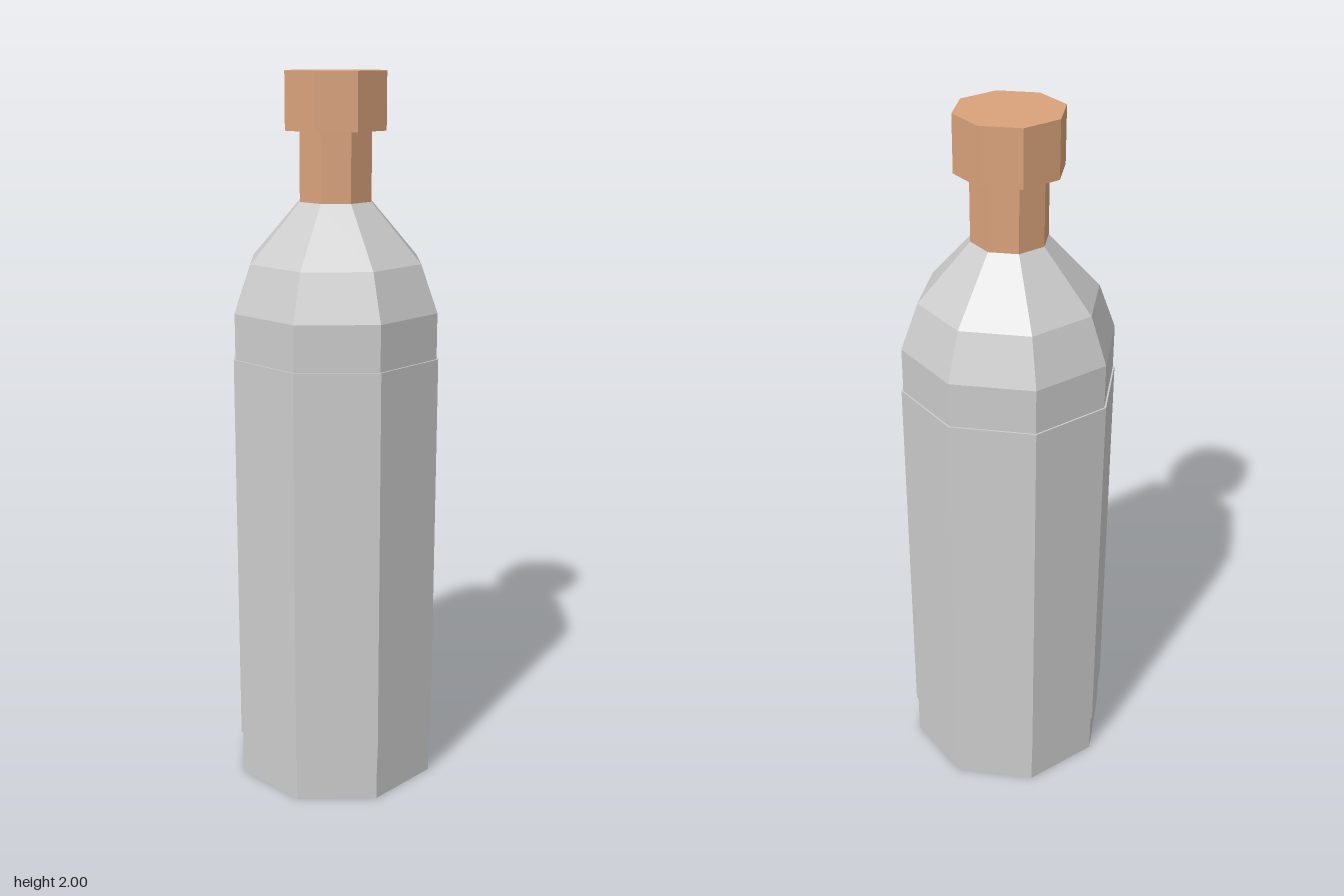
import * as THREE from 'three';

const SIDES = 8;

// Eight-sided turned part from [radius, height] points, listed bottom to top
function turned(name, profile, color) {
  const points = profile.map(([r, y]) => new THREE.Vector2(r, y));
  const material = new THREE.MeshStandardMaterial({ color, flatShading: true });
  const mesh = new THREE.Mesh(new THREE.LatheGeometry(points, SIDES), material);
  mesh.name = name;
  return mesh;
}

export function createModel() {
  const group = new THREE.Group();
  group.name = 'bottle';
  const grey = 0xcccccc;
  const cork = 0xd9a27b;

  // Bottle body with two-step shoulder
  group.add(turned('body', [
    [0, 0], [0.295, 0], [0.295, 1.37], [0.247, 1.5], [0.104, 1.66], [0, 1.66],
  ], grey));

  // Label sleeve standing just proud of the body
  group.add(turned('label', [
    [0.294, 0.127], [0.3, 0.127], [0.3, 1.244], [0.294, 1.244],
  ], grey));

  // Cork stem and its wider cap
  group.add(turned('corkStem', [[0.104, 1.655], [0.104, 1.85]], cork));
  group.add(turned('corkCap', [
    [0, 1.847], [0.145, 1.847], [0.145, 2], [0, 2],
  ], cork));

  return group;
}
